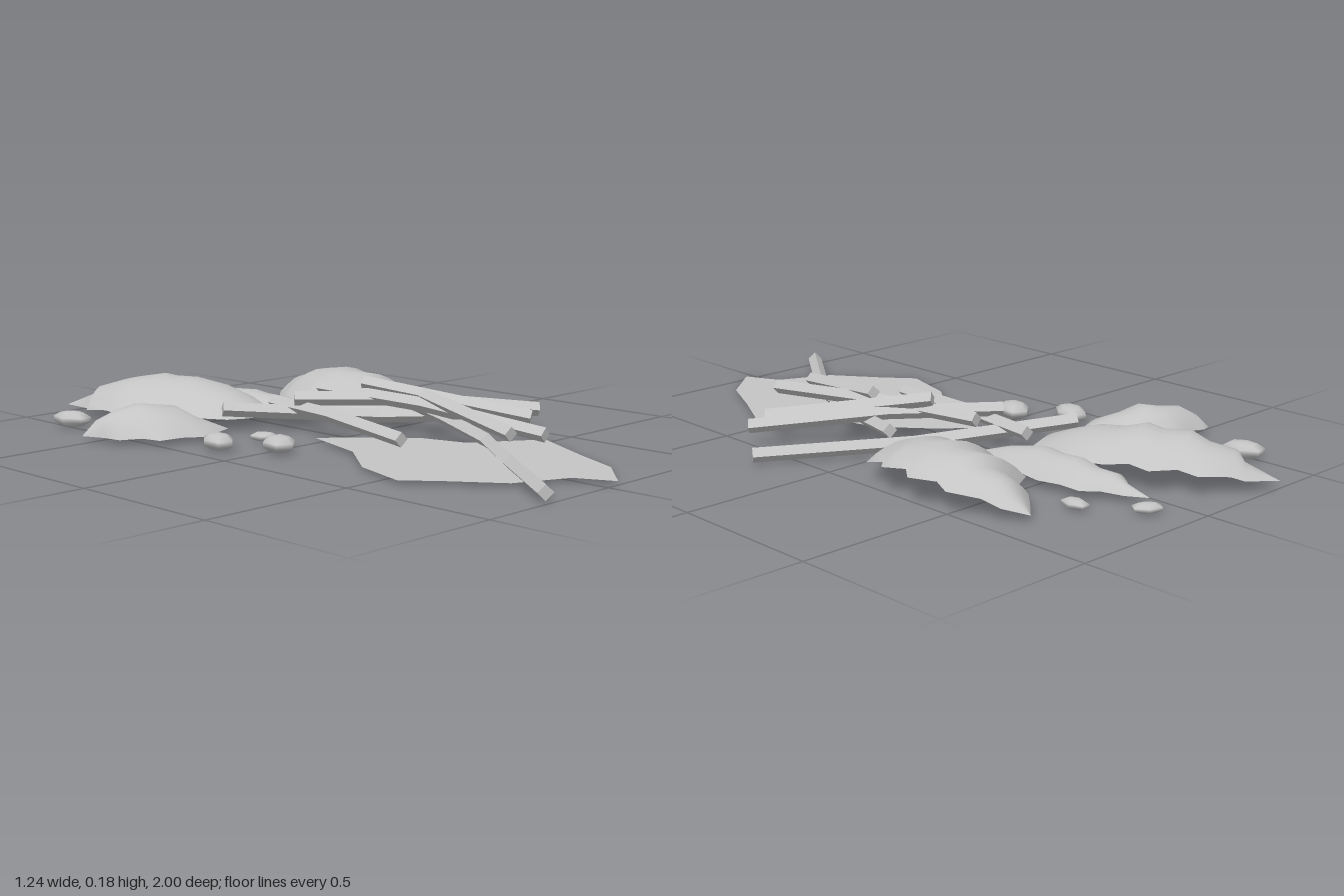
import * as THREE from 'three';

const leafGray = new THREE.MeshStandardMaterial({ color: 0xc4c4c4, side: THREE.DoubleSide });
const V = (p) => new THREE.Vector3(...p);

function buildGeometry(positions, index) {
  const g = new THREE.BufferGeometry();
  g.setAttribute('position', new THREE.Float32BufferAttribute(positions, 3));
  g.setIndex(index);
  return g;
}

// Domed serrated leaf: matching left and right edge points [x, z] from tip to base.
// Each edge arches by its own height, and the dome rises between them.
function leaf(name, left, right, { tip, base, archLeft, archRight, dome }) {
  const rows = left.length, cols = 8, pos = [], idx = [];
  for (let i = 0; i < rows; i++) {
    const t = i / (rows - 1), lift = Math.max(Math.sin(Math.PI * t), 0);
    for (let j = 0; j <= cols; j++) {
      const u = j / cols, s = 2 * u - 1;
      pos.push(
        THREE.MathUtils.lerp(left[i][0], right[i][0], u),
        THREE.MathUtils.lerp(tip, base, t) + lift * THREE.MathUtils.lerp(archLeft, archRight, u)
          + dome * (1 - s * s) * Math.pow(lift, 0.75),
        THREE.MathUtils.lerp(left[i][1], right[i][1], u));
      if (i < rows - 1 && j < cols) {
        const a = i * (cols + 1) + j, b = a + cols + 1;
        idx.push(a, b, a + 1, a + 1, b, b + 1);
      }
    }
  }
  const g = buildGeometry(pos, idx);
  g.computeVertexNormals();
  const mesh = new THREE.Mesh(g, leafGray);
  mesh.name = name;
  return mesh;
}

// Four-sided twig with a ridge on top, swept along a path
function twig(name, points, r = 0.023) {
  const path = points.map(V), pos = [], idx = [], up = new THREE.Vector3(0, 1, 0);
  path.forEach((p, i) => {
    const dir = path[Math.min(i + 1, path.length - 1)].clone().sub(path[Math.max(i - 1, 0)]).normalize();
    const side = dir.clone().cross(up).normalize();
    const top = side.clone().cross(dir);
    for (let k = 0; k < 4; k++) {
      const a = k * Math.PI / 2;
      const v = p.clone().addScaledVector(side, r * Math.cos(a)).addScaledVector(top, r * Math.sin(a));
      pos.push(v.x, v.y, v.z);
      if (i < path.length - 1) {
        const b = i * 4 + k, c = i * 4 + (k + 1) % 4;
        idx.push(b, c, b + 4, c, c + 4, b + 4);
      }
    }
  });
  const e = (path.length - 1) * 4;
  idx.push(0, 2, 1, 0, 3, 2, e, e + 1, e + 2, e, e + 2, e + 3);
  const g = buildGeometry(pos, idx).toNonIndexed();
  g.computeVertexNormals();
  const mesh = new THREE.Mesh(g, leafGray);
  mesh.name = name;
  return mesh;
}

// Small flattened pebble with a blunt rim
function pebble(x, z, halfWidth, halfLength, height, turn) {
  const mesh = new THREE.Mesh(new THREE.SphereGeometry(1, 6, 5), leafGray);
  mesh.scale.set(halfWidth, height / 2, halfLength);
  mesh.position.set(x, height / 2 + 0.002, z);
  mesh.rotation.y = turn;
  mesh.name = 'pebble';
  return mesh;
}

export function createModel() {
  const model = new THREE.Group();
  model.name = 'leafLitter';

  // Flat leaf lying on the ground
  const outline = [[-0.11, -0.02], [0.01, 0.09], [0.12, 0.22], [0.16, 0.36], [0.37, 0.5], [0.26, 0.71], [0.18, 0.88],
    [0.045, 1], [-0.01, 0.885], [-0.18, 0.81], [-0.29, 0.66], [-0.37, 0.565], [-0.315, 0.38], [-0.18, 0.21]];
  const flat = new THREE.Mesh(
    new THREE.ShapeGeometry(new THREE.Shape(outline.map(([x, z]) => new THREE.Vector2(x, -z)))), leafGray);
  flat.rotation.x = -Math.PI / 2;
  flat.position.y = 0.013;
  flat.name = 'flatLeaf';
  model.add(flat);

  // Domed leaves
  model.add(leaf('largeLeaf',
    [[-0.33, -1], [-0.35, -0.86], [-0.385, -0.82], [-0.36, -0.75], [-0.385, -0.67], [-0.33, -0.61], [-0.345, -0.55],
      [-0.28, -0.52], [-0.28, -0.44], [-0.235, -0.39], [-0.19, -0.34], [-0.12, -0.325]],
    [[-0.33, -1], [-0.22, -0.96], [-0.19, -0.93], [-0.1, -0.885], [-0.09, -0.82], [-0.01, -0.78], [-0.02, -0.7],
      [0.03, -0.65], [0.055, -0.54], [0.045, -0.45], [0.02, -0.36], [0, -0.31]],
    { tip: 0.025, base: 0.035, archLeft: 0.015, archRight: 0.045, dome: 0.085 }));
  model.add(leaf('smallLeaf',
    [[-0.62, -0.525], [-0.59, -0.45], [-0.58, -0.39], [-0.515, -0.36], [-0.5, -0.295], [-0.42, -0.285], [-0.36, -0.245], [-0.22, -0.3]],
    [[-0.62, -0.525], [-0.565, -0.55], [-0.5, -0.54], [-0.4, -0.56], [-0.36, -0.515], [-0.28, -0.51], [-0.28, -0.44], [-0.22, -0.3]],
    { tip: 0.02, base: 0.02, archLeft: 0, archRight: 0.02, dome: 0.08 }));
  model.add(leaf('middleLeaf',
    [[0.04, -0.83], [0.02, -0.74], [-0.015, -0.7], [0, -0.64], [-0.03, -0.57], [-0.02, -0.5], [-0.04, -0.43],
      [-0.01, -0.36], [0.02, -0.3], [0.08, -0.235], [0.14, -0.22]],
    [[0.04, -0.83], [0.085, -0.775], [0.11, -0.71], [0.155, -0.67], [0.155, -0.6], [0.175, -0.53], [0.16, -0.45],
      [0.18, -0.38], [0.15, -0.34], [0.17, -0.29], [0.14, -0.22]],
    { tip: 0.02, base: 0.02, archLeft: 0.01, archRight: 0.01, dome: 0.055 }));
  model.add(leaf('rightLeaf',
    [[0.38, -0.7], [0.32, -0.64], [0.275, -0.59], [0.25, -0.53], [0.19, -0.5], [0.2, -0.43], [0.155, -0.37],
      [0.175, -0.29], [0.14, -0.22], [0.17, -0.14], [0.215, -0.065], [0.3, -0.02]],
    [[0.38, -0.7], [0.435, -0.64], [0.45, -0.58], [0.505, -0.5], [0.485, -0.445], [0.53, -0.375], [0.485, -0.32],
      [0.515, -0.25], [0.465, -0.2], [0.475, -0.14], [0.4, -0.1], [0.3, -0.02]],
    { tip: 0.02, base: 0.03, archLeft: 0.015, archRight: 0.06, dome: 0.077 }));

  // Twigs heaped across the leaves
  [
    ['longTwig', [[-0.255, 0.028, 0.985], [-0.05, 0.036, 0.7], [0.08, 0.052, 0.51], [0.19, 0.07, 0.25], [0.285, 0.09, -0.03]]],
    ['crossTwig', [[-0.225, 0.08, -0.32], [0.2, 0.038, -0.05], [0.61, 0.028, 0.22]]],
    ['leftTwig', [[-0.015, 0.08, -0.31], [-0.06, 0.08, 0], [-0.12, 0.06, 0.35]]],
    ['centerTwig', [[0.1, 0.125, -0.21], [0.145, 0.112, 0.2], [0.18, 0.073, 0.645]]],
    ['upperTwig', [[-0.065, 0.115, -0.16], [0.2, 0.11, 0.07], [0.52, 0.07, 0.355]]],
    ['topTwig', [[0.12, 0.158, -0.04], [0.405, 0.066, 0.415]]],
    ['shortTwig', [[0.16, 0.14, 0.185], [0.07, 0.085, 0.605]]],
  ].forEach(([name, points]) => model.add(twig(name, points)));

  // Scattered pebbles
  [
    [-0.49, -0.755, 0.048, 0.072, 0.052, 0.2], [-0.405, -0.135, 0.048, 0.072, 0.052, -0.35],
    [-0.3, 0.02, 0.052, 0.072, 0.052, -0.5], [-0.385, -0.605, 0.032, 0.046, 0.03, 0.5],
    [0.1, -0.87, 0.032, 0.048, 0.03, 0.95], [0.215, -0.71, 0.03, 0.048, 0.03, 0],
    [-0.22, -0.135, 0.032, 0.047, 0.03, 0.5],
  ].forEach((p) => model.add(pebble(...p)));

  return model;
}
